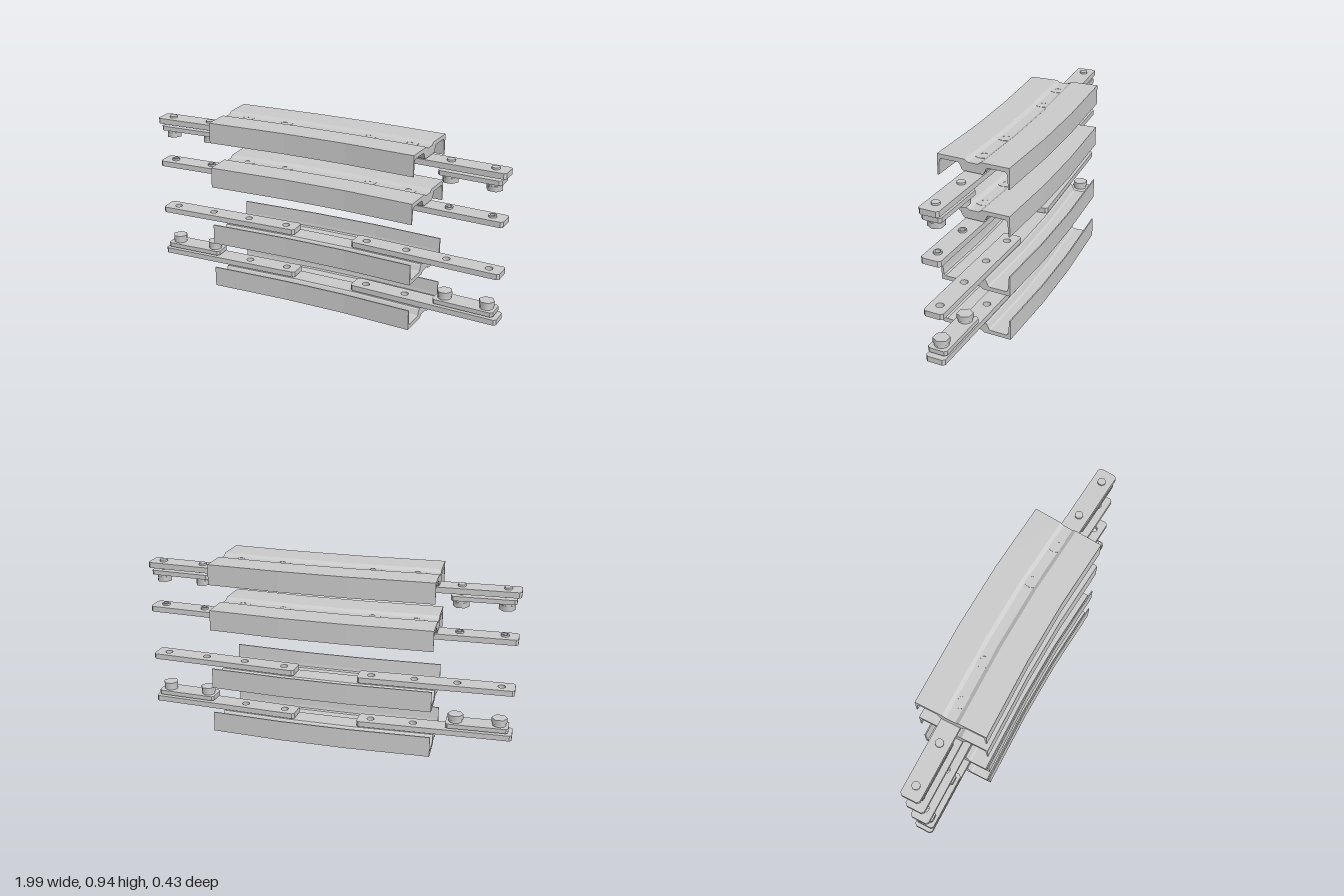
import * as THREE from 'three';

const mat = new THREE.MeshStandardMaterial({ color: 0xcccccc, side: THREE.DoubleSide });
const ANGLE = 0.0885; // bend of the right-hand end
const WEB = 0.945;

function add(parent, name, geo, x = 0, y = 0, z = 0) {
  const m = new THREE.Mesh(geo, mat);
  m.name = name;
  m.position.set(x, y, z);
  parent.add(m);
  return m;
}

// Half of the channel section: [distance from centre line, depth below web face]
const HALF = [
  [0.025, 0.0125], [0.045, 0], [0.1925, 0], [0.1925, 0.11], [0.186, 0.11], [0.181, 0.045],
  [0.178, 0.029], [0.17, 0.0225], [0.08, 0.0225], [0.071, 0.028], [0.059, 0.054], [0.052, 0.06],
];
// Channel centre line: x, z, heading of the mitred section
const PATH = [[-0.59, -0.0275, 0], [-0.15, -0.0275, 0.022], [0.2, -0.0125, 0.066], [0.578, 0.022, ANGLE]];

// Sweep the section along the bent path; s = 1 opens downwards, -1 upwards
function channelGeometry(s) {
  const section = [...HALF, ...HALF.map(([w, d]) => [-w, d]).reverse()]
    .map(([w, d]) => new THREE.Vector2(-w, -d * s));
  if (THREE.ShapeUtils.isClockWise(section)) section.reverse();
  const rings = PATH.map(([x, z, a]) => section.map((p) =>
    [x + p.x * Math.sin(a), p.y, z - p.x * Math.cos(a)]));
  const pos = [];
  const tri = (a, b, c) => pos.push(...a, ...b, ...c);
  const n = section.length;
  for (let i = 0; i < rings.length - 1; i++) {
    for (let j = 0; j < n; j++) {
      const k = (j + 1) % n;
      tri(rings[i][j], rings[i][k], rings[i + 1][k]);
      tri(rings[i][j], rings[i + 1][k], rings[i + 1][j]);
    }
  }
  // end caps
  const first = rings[0], last = rings[rings.length - 1];
  for (const f of THREE.ShapeUtils.triangulateShape(section, [])) {
    let [a, b, c] = f;
    if (THREE.ShapeUtils.area([section[a], section[b], section[c]]) < 0) [b, c] = [c, b];
    tri(last[a], last[b], last[c]);
    tri(first[a], first[c], first[b]);
  }
  const g = new THREE.BufferGeometry();
  g.setAttribute('position', new THREE.Float32BufferAttribute(pos, 3));
  g.computeVertexNormals();
  return g;
}

// Flat bar with clipped corners and round holes, centred on the origin
function barGeometry(length, width, thick, holes, r) {
  const a = length / 2, b = width / 2, c = 0.012;
  const shape = new THREE.Shape([
    [-a + c, -b], [a - c, -b], [a, -b + c], [a, b - c], [a - c, b], [-a + c, b], [-a, b - c], [-a, -b + c],
  ].map(([x, y]) => new THREE.Vector2(x, y)));
  for (const h of holes) shape.holes.push(new THREE.Path().absarc(h, 0, r, 0, Math.PI * 2, true));
  const g = new THREE.ExtrudeGeometry(shape, { depth: thick, bevelEnabled: false, curveSegments: 12 });
  return g.rotateX(-Math.PI / 2).translate(0, -thick / 2, 0);
}

// Tube around y, from its four section corners
function ringGeometry(inner, outer, h) {
  const p = [[inner, -h / 2], [outer, -h / 2], [outer, h / 2], [inner, h / 2], [inner, -h / 2]]
    .map(([x, y]) => new THREE.Vector2(x, y));
  const g = new THREE.LatheGeometry(p, 24).toNonIndexed();
  g.computeVertexNormals();
  return g;
}

const HOLES = [-0.3425, -0.1125, 0.1125, 0.3425];
const barGeo = barGeometry(0.825, 0.104, 0.03, HOLES, 0.02);
const plateGeo = barGeometry(0.33, 0.104, 0.024, [-0.115, 0.115], 0.02);
const shaftGeo = new THREE.CylinderGeometry(0.021, 0.021, 0.08, 24);
const washerGeo = new THREE.CylinderGeometry(0.036, 0.036, 0.014, 24);
const headGeo = new THREE.CylinderGeometry(0.042, 0.042, 0.027, 6);
const collarGeo = ringGeometry(0.013, 0.021, 0.04);
const seatGeo = ringGeometry(0.016, 0.045, 0.003);

// One channel with its two joining bars; fit is 'bolts', 'collars' or 'plain'
function connector(name, y, s, fit) {
  const g = new THREE.Group();
  g.name = name;
  g.position.y = y;
  add(g, 'channel', channelGeometry(s));
  for (const side of [-1, 1]) {
    const arm = new THREE.Group();
    arm.name = side < 0 ? 'rightArm' : 'leftArm';
    arm.position.set(side < 0 ? -0.5875 : 0.58, 0, side < 0 ? -0.03 : 0.02);
    arm.rotation.y = side < 0 ? 0 : -ANGLE;
    g.add(arm);
    add(arm, 'joiningBar', barGeo, 0, -s * 0.08, 0);
    // screw seats in the channel groove
    for (const h of [0.1125, 0.3425]) add(arm, 'screwSeat', seatGeo, -side * h, -s * 0.0125, 0);
    if (fit === 'bolts') add(arm, 'clampPlate', plateGeo, side * 0.2275, -s * 0.119, 0);
    for (const h of [0.1125, 0.3425]) {
      const x = side * h;
      if (fit === 'collars') add(arm, 'threadedCollar', collarGeo, x, -s * 0.075, 0);
      if (fit !== 'bolts') continue;
      add(arm, 'boltShaft', shaftGeo, x, -s * 0.095, 0);
      add(arm, 'washer', washerGeo, x, -s * 0.138, 0);
      add(arm, 'hexHead', headGeo, x, -s * 0.1585, 0).rotation.y = Math.PI / 6;
    }
  }
  return g;
}

export function createModel() {
  const model = new THREE.Group();
  model.name = 'channelConnectors';
  model.add(
    connector('topConnector', WEB, 1, 'bolts'),
    connector('upperConnector', WEB - 0.25, 1, 'collars'),
    connector('lowerConnector', 0.255, -1, 'plain'),
    connector('bottomConnector', 0, -1, 'bolts'),
  );
  return model;
}
